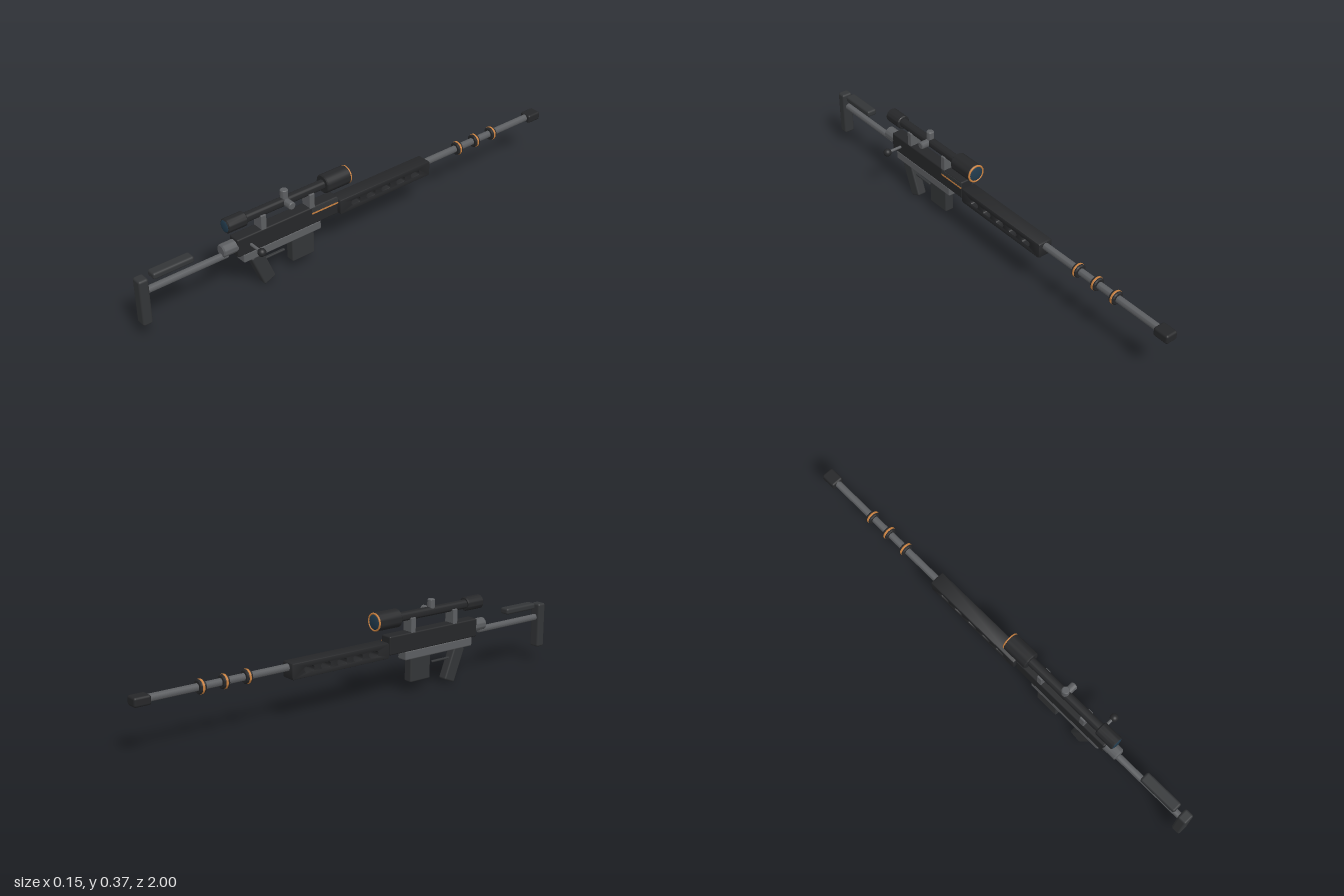
import * as THREE from 'three';
import { RoundedBoxGeometry } from 'three/addons/geometries/RoundedBoxGeometry.js';
import { toCreasedNormals } from 'three/addons/utils/BufferGeometryUtils.js';

const CX = -0.036; // centre line of the body

const paint = (color) => new THREE.MeshStandardMaterial({ color });

export function createModel() {
  const root = new THREE.Group();
  const black = paint(0x262729), dark = paint(0x333537), grey = paint(0x5c5e61);
  const orange = paint(0xc8803f), glass = paint(0x223b4d);

  const add = (name, geometry, material, x, y, z) => {
    const mesh = new THREE.Mesh(geometry, material);
    mesh.name = name;
    mesh.position.set(x, y, z);
    root.add(mesh);
    return mesh;
  };

  // Softly bevelled block given by its y and z ranges
  const block = (name, material, w, y0, y1, z0, z1, bevel = 0.006) =>
    add(name, new RoundedBoxGeometry(w, y1 - y0, z1 - z0, 2, bevel), material,
      CX, (y0 + y1) / 2, (z0 + z1) / 2);

  // Cylinder with bevelled rims, axis along local y
  const rod = (r, length, bevel = 0.003) => {
    const h = length / 2;
    const profile = [[0, -h], [r - bevel, -h], [r, -h + bevel], [r, h - bevel], [r - bevel, h], [0, h]];
    const lathe = new THREE.LatheGeometry(profile.map(([a, b]) => new THREE.Vector2(a, b)), 28);
    return toCreasedNormals(lathe, 0.6);
  };
  const rodZ = (name, material, r, y, z0, z1, bevel) =>
    add(name, rod(r, z1 - z0, bevel).rotateX(Math.PI / 2), material, CX, y, (z0 + z1) / 2);

  // Stock
  block('buttPad', dark, 0.047, 0.064, 0.257, 0.96, 1.0, 0.009);
  block('cheekRest', dark, 0.044, 0.238, 0.265, 0.77, 0.94, 0.009);
  rodZ('stockTube', grey, 0.0135, 0.196, 0.62, 0.97);
  rodZ('stockCollar', grey, 0.026, 0.22, 0.57, 0.648, 0.005);

  // Receiver
  block('receiver', black, 0.052, 0.177, 0.254, 0.122, 0.59);
  block('lowerReceiver', grey, 0.05, 0.141, 0.18, 0.205, 0.565);
  block('magazine', dark, 0.04, 0.043, 0.15, 0.236, 0.341);
  const grip = add('grip', new RoundedBoxGeometry(0.041, 0.15, 0.056, 2, 0.007), dark, CX, 0.079, 0.476);
  grip.rotation.x = 0.38;
  block('triggerBar', dark, 0.012, 0.1, 0.108, 0.365, 0.46, 0.003);
  const side = CX + 0.026;
  add('ejectionPort', new THREE.BoxGeometry(0.003, 0.02, 0.125), dark, side, 0.24, 0.187);
  add('accentStrip', new THREE.BoxGeometry(0.006, 0.006, 0.125), orange, side, 0.228, 0.187);

  // Bolt handle on the left flank
  add('boltHandle', rod(0.006, 0.08, 0.001).rotateZ(Math.PI / 2), grey, 0.015, 0.213, 0.532);
  add('boltKnob', new THREE.SphereGeometry(0.0165, 24, 16), black, 0.057, 0.213, 0.532);

  // Handguard: side profile with five through slots
  const rounded = (Path, cz, cy, w, h, r) => {
    const p = new Path();
    const a = w / 2 - r, b = h / 2 - r;
    p.absarc(cz + a, cy + b, r, 0, Math.PI / 2);
    p.absarc(cz - a, cy + b, r, Math.PI / 2, Math.PI);
    p.absarc(cz - a, cy - b, r, Math.PI, Math.PI * 1.5);
    p.absarc(cz + a, cy - b, r, Math.PI * 1.5, Math.PI * 2);
    p.closePath();
    return p;
  };
  const guard = rounded(THREE.Shape, 0, 0, 0.455, 0.055, 0.003);
  for (let i = -2; i <= 2; i++) {
    guard.holes.push(rounded(THREE.Path, i * 0.077, 0, 0.053, 0.029, 0.0125));
  }
  const guardGeometry = new THREE.ExtrudeGeometry(guard, {
    depth: 0.053, bevelSize: 0.005, bevelThickness: 0.005, bevelSegments: 2, curveSegments: 6,
  });
  guardGeometry.translate(0, 0, -0.0265).rotateY(Math.PI / 2);
  add('handguard', toCreasedNormals(guardGeometry, 0.6), black, CX, 0.2, -0.117);

  // Barrel, banded rings and muzzle
  rodZ('barrel', grey, 0.0143, 0.213, -0.96, -0.33);
  for (const z of [-0.53, -0.628, -0.725]) {
    rodZ('barrelRing', black, 0.027, 0.213, z - 0.013, z + 0.013, 0.004);
    rodZ('barrelRingBand', orange, 0.0285, 0.213, z - 0.005, z + 0.005, 0.002);
  }
  block('muzzle', black, 0.053, 0.194, 0.231, -1.0, -0.932, 0.009);

  // Scope
  const sy = 0.318;
  for (const z of [0.245, 0.469]) block('scopeMount', grey, 0.05, 0.245, 0.312, z - 0.012, z + 0.012, 0.003);
  rodZ('scopeTube', black, 0.019, sy, 0.15, 0.56);
  rodZ('eyepiece', black, 0.029, sy, 0.539, 0.624, 0.004);
  rodZ('objective', black, 0.0375, sy, 0.064, 0.178, 0.004);
  add('objectiveRing', new THREE.TorusGeometry(0.0335, 0.004, 10, 36), orange, CX, sy, 0.064);
  for (const [name, r, z, dir] of [['rearLens', 0.0245, 0.623, 1], ['frontLens', 0.031, 0.064, -1]]) {
    const dome = new THREE.SphereGeometry(r, 28, 8, 0, Math.PI * 2, 0, Math.PI / 2);
    dome.scale(1, 0.2, 1).rotateX(dir * Math.PI / 2);
    add(name, dome, glass, CX, sy, z);
  }
  add('topTurret', rod(0.0155, 0.04), grey, CX, sy + 0.03, 0.357);
  add('sideTurret', rod(0.0155, 0.04).rotateZ(Math.PI / 2), grey, CX + 0.031, sy, 0.357);

  return root;
}
